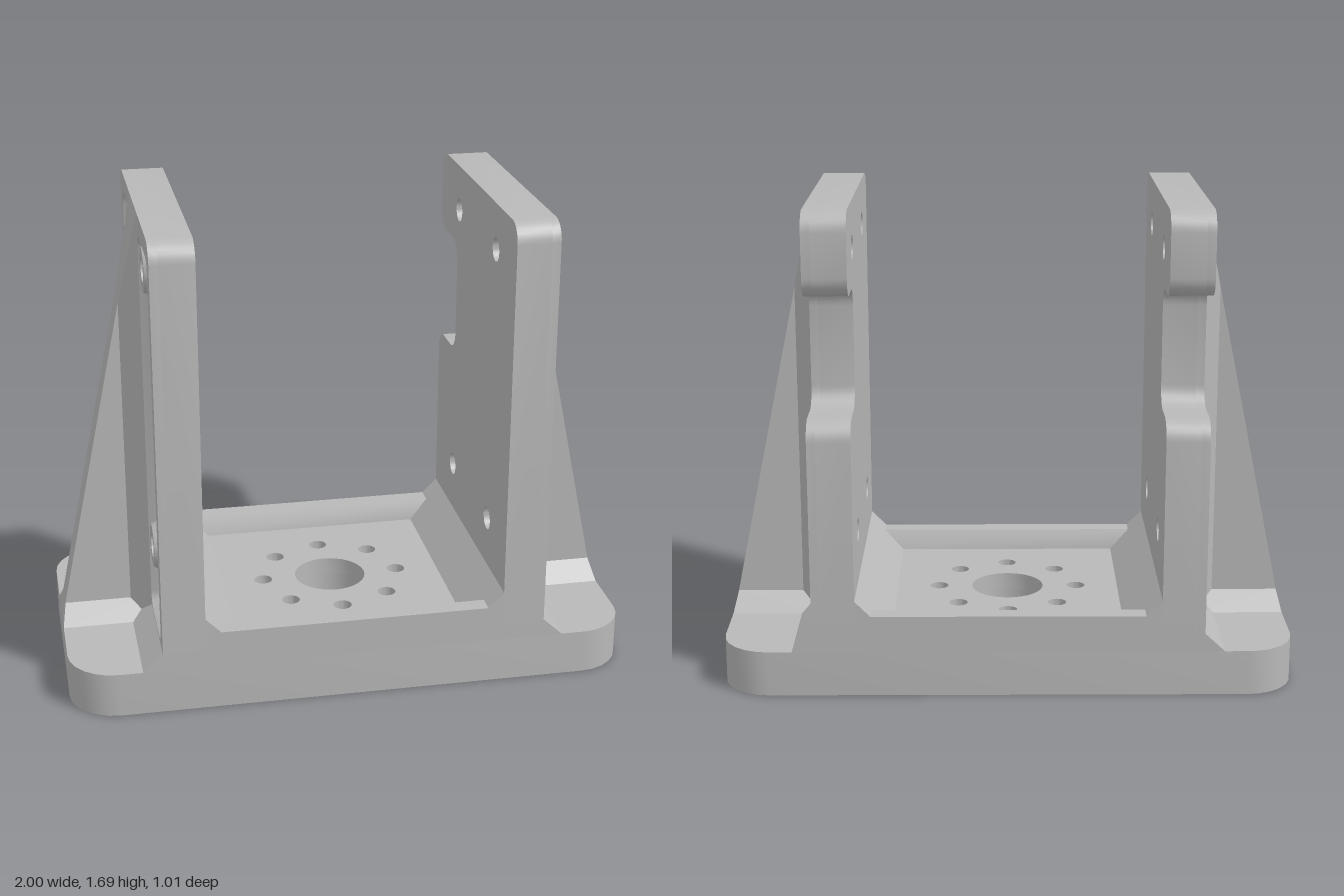
import * as THREE from 'three';
import { toCreasedNormals } from 'three/addons/utils/BufferGeometryUtils.js';
import { ConvexGeometry } from 'three/addons/geometries/ConvexGeometry.js';

const D = 0.505;                                  // half depth of the bracket
const metal = new THREE.MeshStandardMaterial({ color: 0xb8b8b8 });
metal.name = 'machined grey';

// Counter-clockwise polygon [u, v, radius], inset by d, with rounded corners
function roundPoly(pts, d = 0) {
  const out = [], n = pts.length, steps = 6;
  const V = (p) => new THREE.Vector2(p[0], p[1]);
  pts.forEach((p, i) => {
    const e1 = V(p).sub(V(pts[(i + n - 1) % n])).normalize();
    const e2 = V(pts[(i + 1) % n]).sub(V(p)).normalize();
    const n1 = new THREE.Vector2(-e1.y, e1.x), n2 = new THREE.Vector2(-e2.y, e2.x);
    const turn = Math.atan2(e1.cross(e2), e1.dot(e2)), s = Math.sign(turn);
    const corner = V(p).addScaledVector(n1.clone().add(n2), d / (1 + n1.dot(n2)));
    const radius = p[2] ?? 0;
    if (!radius) { out.push(corner); return; }
    const r = Math.max(radius - s * d, 0.002), t = r * Math.tan(Math.abs(turn) / 2);
    const c = corner.clone().addScaledVector(e1, -t).addScaledVector(n1, r * s);
    for (let k = 0; k <= steps; k++) {
      out.push(n1.clone().multiplyScalar(-s * r)
        .rotateAround(new THREE.Vector2(), turn * k / steps).add(c));
    }
  });
  return out;
}

function circle(u, v, r) {
  const path = new THREE.Path();
  path.absarc(u, v, r, 0, Math.PI * 2, true);
  return path;
}

function extrude(points, depth, holes = []) {
  const shape = new THREE.Shape(points);
  shape.holes.push(...holes);
  return new THREE.ExtrudeGeometry(shape, { depth, bevelEnabled: false, curveSegments: 16 });
}

// Extrusions placed along each axis
const alongX = (pts, x0, x1, holes) => extrude(pts, x1 - x0, holes).rotateY(Math.PI / 2).translate(x0, 0, 0);
const alongY = (pts, y0, y1, holes) => extrude(pts, y1 - y0, holes).rotateX(-Math.PI / 2).translate(0, y0, 0);
const alongZ = (pts, z0, z1) => extrude(pts, z1 - z0).translate(0, 0, z0);
const vecs = (list) => list.map(([a, b]) => new THREE.Vector2(a, b));

// Mirrors a geometry across x = 0 and restores its winding
function mirrorX(geometry) {
  const g = geometry.index ? geometry.toNonIndexed() : geometry.clone();
  const p = g.attributes.position, out = [];
  for (let i = 0; i < p.count; i += 3) {
    for (const k of [i, i + 2, i + 1]) out.push(-p.getX(k), p.getY(k), p.getZ(k));
  }
  const m = new THREE.BufferGeometry();
  m.setAttribute('position', new THREE.Float32BufferAttribute(out, 3));
  return m;
}

// Sloping wall running around a recess, from its rim down to its floor
function draftStrip(pts, inset, x0, x1) {
  const a = roundPoly(pts), b = roundPoly(pts, inset), pos = [];
  a.forEach((_, i) => {
    const j = (i + 1) % a.length;
    const A = [x1, a[i].y, -a[i].x], B = [x1, a[j].y, -a[j].x];
    const C = [x0, b[j].y, -b[j].x], E = [x0, b[i].y, -b[i].x];
    pos.push(...A, ...B, ...C, ...A, ...C, ...E);
  });
  const g = new THREE.BufferGeometry();
  g.setAttribute('position', new THREE.Float32BufferAttribute(pos, 3));
  return g;
}

// Both z signs of each [x, y, z], wrapped in a convex solid
function hull(list) {
  return new ConvexGeometry(list.flatMap(([x, y, z]) =>
    [new THREE.Vector3(x, y, z), new THREE.Vector3(x, y, -z)]));
}

export function createModel() {
  const root = new THREE.Group();
  root.name = 'mountingBracket';
  const add = (parent, name, geometry) => {
    const flat = geometry.index ? geometry.toNonIndexed() : geometry;
    flat.deleteAttribute('uv');
    const mesh = new THREE.Mesh(toCreasedNormals(flat, 0.5), metal);
    mesh.name = name;
    parent.add(mesh);
  };

  // Base plate and pocket floor, drilled with a bore and a ring of eight holes
  const drill = () => {
    const holes = [circle(0, 0, 0.13)];
    for (let i = 0; i < 8; i++) {
      const a = i * Math.PI / 4;
      holes.push(circle(0.252 * Math.cos(a), 0.252 * Math.sin(a), 0.033));
    }
    return holes;
  };
  const rect = (x, z, r) => roundPoly([[-x, -z, r], [x, -z, r], [x, z, r], [-x, z, r]]);
  add(root, 'basePlate', alongY(rect(1, D, 0.17), 0, 0.16, drill()));
  add(root, 'pocketFloor', alongY(rect(0.53, D, 0), 0.16, 0.22, drill()));

  // Raised lips at the front and back of the pocket
  const lip = [[D, 0.16], [D, 0.29], [0.44, 0.29], [0.41, 0.22], [0.41, 0.16]];
  add(root, 'backLip', alongX(vecs(lip), -0.53, 0.53));
  add(root, 'frontLip', alongX(vecs(lip.map(([u, v]) => [-u, v])), -0.53, 0.53));

  // Outlines of the side wall, u = -z, v = y
  const wall = [[-D, 0.16], [D, 0.16], [D, 0.98, 0.07], [0.26, 0.98, 0.07],
    [0.26, 1.4, 0.07], [D, 1.4, 0.07], [D, 1.69, 0.07], [-D, 1.69, 0.07]];
  const frontRecess = [[-0.445, 0.235, 0.05], [-0.13, 0.235, 0.05],
    [-0.13, 1.62, 0.05], [-0.445, 1.62, 0.05]];
  const backRecess = [[0.13, 0.235, 0.05], [0.44, 0.235, 0.05], [0.44, 0.915, 0.05],
    [0.195, 0.915, 0.05], [0.195, 1.47, 0.01], [0.3, 1.47, 0.018], [0.33, 1.54, 0.003],
    [0.365, 1.455, 0.03], [0.435, 1.455, 0.03], [0.435, 1.62, 0.05], [0.13, 1.62, 0.05]];
  const bolts = [[-0.25, 0.52], [-0.25, 1.53], [0.25, 0.52], [0.25, 1.53]];
  const recesses = [frontRecess, backRecess];

  // Parts of one side, made for the left and mirrored to the right
  const parts = [
    ['wallPanel', alongX(roundPoly(wall), 0.53, 0.65, bolts.map(([u, v]) => circle(u, v, 0.042)))],
    ['wallRim', alongX(roundPoly(wall), 0.65, 0.68, recesses.map((r) => new THREE.Path(roundPoly(r))))],
    ['innerChamfer', alongZ(vecs([[0.4, 0.215], [0.53, 0.215], [0.53, 0.345]]), -D, D)],
    ['outerChamfer', alongZ(vecs([[0.68, 0.16], [0.75, 0.16], [0.68, 0.225]]), -D, D)],
    ['rib', alongZ(vecs([[0.68, 0.16], [1, 0.16], [0.68, 1.69]]), -0.06, 0.06)],
    ['ribWallChamfer', hull([[0.68, 0.16, 0.13], [0.68, 1.69, 0.13], [0.75, 0.16, 0.06], [0.75, 1.355, 0.06]])],
    ['ribBaseChamfer', hull([[0.68, 0.16, 0.13], [1, 0.16, 0.13], [0.68, 0.225, 0.06], [0.986, 0.225, 0.06]])],
  ];
  recesses.forEach((r) => parts.push(['recessEdge', draftStrip(r, 0.015, 0.65, 0.68)]));

  // Tapered bolt bosses
  const boss = vecs([[0.09, 0], [0.075, 0.03], [0.042, 0.03], [0.042, 0]]);
  bolts.forEach(([u, v]) => parts.push(['boltBoss',
    new THREE.LatheGeometry(boss, 32).rotateZ(-Math.PI / 2).translate(0.65, v, -u)]));

  for (const side of ['left', 'right']) {
    const group = new THREE.Group();
    group.name = side + 'Side';
    parts.forEach(([name, g]) => add(group, name, side === 'left' ? g.clone() : mirrorX(g)));
    root.add(group);
  }
  return root;
}
